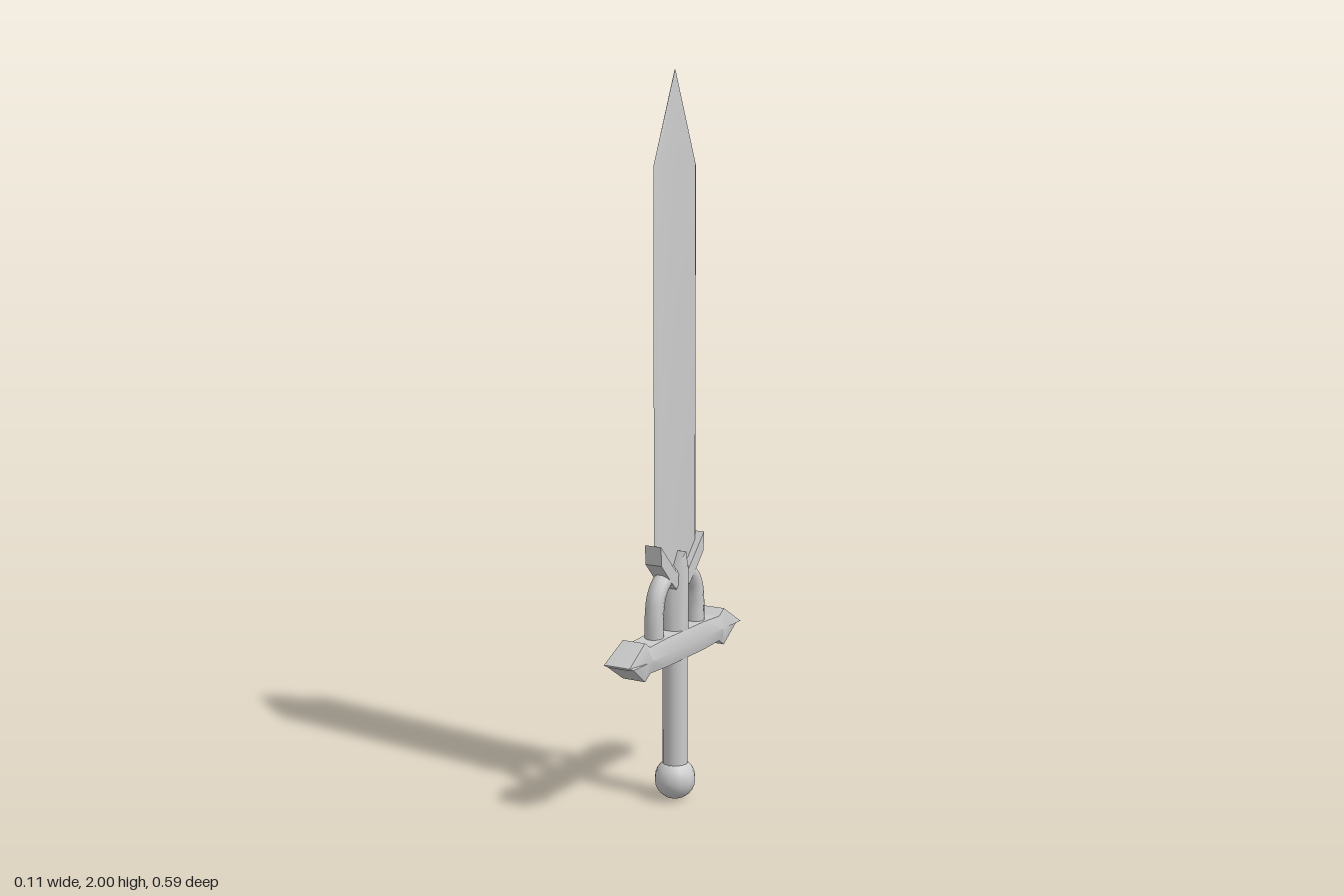
import * as THREE from 'three';
import { toCreasedNormals } from 'three/addons/utils/BufferGeometryUtils.js';

const material = new THREE.MeshStandardMaterial({ color: 0xcccccc });

// Skin a closed surface over rings of equal length (counter-clockwise about the sweep direction).
function loft(rings, crease = 0.7) {
  const n = rings[0].length;
  const index = [];
  for (let i = 0; i < rings.length - 1; i++) {
    for (let j = 0; j < n; j++) {
      const a = i * n + j, b = i * n + (j + 1) % n;
      index.push(a, b, b + n, a, b + n, a + n);
    }
  }
  const last = (rings.length - 1) * n;
  for (let j = 1; j < n - 1; j++) {
    index.push(0, j + 1, j, last, last + j, last + j + 1);
  }
  const g = new THREE.BufferGeometry();
  g.setAttribute('position', new THREE.Float32BufferAttribute(rings.flat(2), 3));
  g.setIndex(index);
  return toCreasedNormals(g, crease);
}

// Unit octagon with flat sides, as [a, b] pairs.
const octagon = Array.from({ length: 8 }, (_, i) => {
  const t = (i + 0.5) * Math.PI / 4, r = 1 / Math.cos(Math.PI / 8);
  return [Math.cos(t) * r, Math.sin(t) * r];
});

export function createModel() {
  const group = new THREE.Group();
  const add = (name, geometry, x = 0, y = 0, z = 0) => {
    const mesh = new THREE.Mesh(geometry, material);
    mesh.name = name;
    mesh.position.set(x, y, z);
    group.add(mesh);
    return mesh;
  };

  // Pommel and grip
  const ball = new THREE.SphereGeometry(0.058, 12, 12);
  ball.rotateY(Math.PI / 12);
  add('pommel', ball, 0, 0.06, 0);
  add('grip', new THREE.CylinderGeometry(0.035, 0.035, 0.33, 16), 0, 0.255, 0);

  // Crossguard: six-sided bar with barbed, wedge-shaped ends
  const stations = [[0.295, 0.002], [0.217, 0.053], [0.19, 0.036], [0.1, 0.04]];
  const profile = [
    ...stations.map(([z, h]) => [-z, h]),
    ...stations.slice().reverse(),
  ];
  const bar = [[1, 0], [0.75, 1], [-0.75, 1], [-1, 0], [-0.75, -1], [0.75, -1]];
  add('crossguard', loft(profile.map(([z, h]) =>
    bar.map(([x, y]) => [x * 0.046, y * h, z])), 0.6), 0, 0.45, 0);

  // Central column, ending in a gable whose ridge runs through the blade
  const column = [[0.47, 1], [0.655, 1], [0.71, 0.04]].map(([y, w]) =>
    octagon.map(([z, x]) => [x * 0.035, y, z * 0.034 * w]));
  add('column', loft(column, 0.9));

  // Curved braces and flared leaves either side of the column
  for (const s of [-1, 1]) {
    const side = s > 0 ? 'front' : 'back';
    const path = new THREE.CatmullRomCurve3(
      [[0.111, 0.46], [0.111, 0.55], [0.1, 0.6], [0.068, 0.637], [0.015, 0.65]]
        .map(([z, y]) => new THREE.Vector3(0, y, s * z)));
    add(side + 'Brace', new THREE.TubeGeometry(path, 20, 0.026, 10));

    const leaf = new THREE.Shape(
      [[0.01, 0.635], [0.035, 0.61], [0.065, 0.638], [0.115, 0.69], [0.117, 0.743], [0.06, 0.684]]
        .map(([z, y]) => new THREE.Vector2(s * z, y)));
    const geometry = new THREE.ExtrudeGeometry(leaf, { depth: 0.05, bevelEnabled: false });
    geometry.translate(0, 0, -0.025);
    geometry.rotateY(-Math.PI / 2);
    add(side + 'Leaf', geometry);
  }

  // Blade: thin lens section, notched root and long triangular point
  const edge = [[0.112, 0], [0.098, 0.007], [0, 0.009], [-0.098, 0.007],
    [-0.112, 0], [-0.098, -0.007], [0, -0.009], [0.098, -0.007]];
  const root = edge.map(([z, x]) => [x, 0.625 + Math.abs(z) * 0.75, z]);
  const shoulder = edge.map(([z, x]) => [x, 1.75 + (0.112 - Math.abs(z)) * 0.3, z]);
  const tip = edge.map(([z, x]) => [x * 0.1, 2, z * 0.01]);
  add('blade', loft([root, shoulder, tip], 0.3));

  return group;
}
